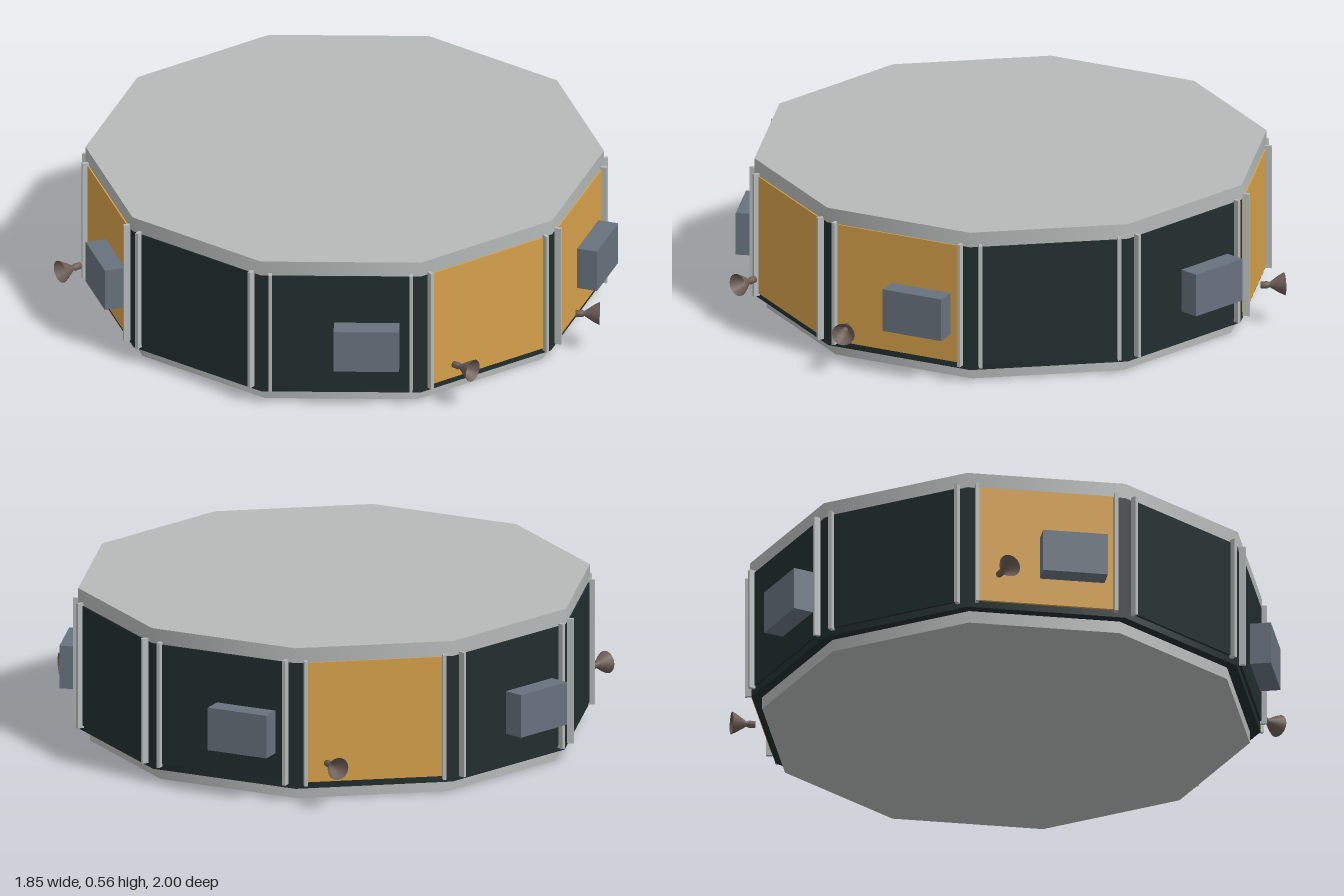
import * as THREE from 'three';

const SIDES = 10;
const STEP = (Math.PI * 2) / SIDES;
const APOTHEM = 0.875;

function material(name, color, side = THREE.FrontSide) {
  const m = new THREE.MeshStandardMaterial({ color, side });
  m.name = name;
  return m;
}

function mesh(name, geometry, mat, x = 0, y = 0, z = 0) {
  const m = new THREE.Mesh(geometry, mat);
  m.name = name;
  m.position.set(x, y, z);
  return m;
}

// Ten-sided slab with the given distance from centre to flat side
function slab(name, apothem, y0, y1, mat) {
  const r = apothem / Math.cos(STEP / 2);
  return mesh(name, new THREE.CylinderGeometry(r, r, y1 - y0, SIDES), mat, 0, (y0 + y1) / 2, 0);
}

export function createModel() {
  const grey = material('paleGrey', 0xb5bab8);
  const dark = material('darkPanel', 0x222e2e);
  const gold = material('goldFoil', 0xd5a04a);
  const slate = material('slateGrey', 0x67727d);
  const brown = material('brownMetal', 0x6e5e57, THREE.DoubleSide);

  const model = new THREE.Group();
  model.name = 'decagonalBody';
  const body = new THREE.Group();
  body.name = 'body';
  body.position.set(-0.03, 0, -0.03);
  model.add(body);

  // Stacked core: base plate, dark drum, roof plate
  body.add(slab('basePlate', 0.832, 0, 0.06, grey));
  body.add(slab('drum', 0.868, 0.045, 0.52, dark));
  body.add(slab('roofPlate', 0.873, 0.51, 0.565, grey));

  // Shared shapes
  const panelGeo = new THREE.BoxGeometry(0.482, 0.44, 0.012);
  const railGeo = new THREE.BoxGeometry(0.012, 0.46, 0.024);
  const boxGeo = new THREE.BoxGeometry(0.232, 0.157, 0.09);
  const bellProfile = [
    [0, -0.045], [0.012, -0.045], [0.013, -0.022], [0.009, -0.014],
    [0.02, 0.003], [0.031, 0.02], [0.041, 0.04],
  ].map(([r, y]) => new THREE.Vector2(r, y));
  const bellGeo = new THREE.LatheGeometry(bellProfile, 16);
  bellGeo.rotateX(Math.PI / 2);

  const goldSides = [0, 3, 6, 9];

  for (let i = 0; i < SIDES; i++) {
    const side = new THREE.Group();
    side.name = 'side' + (i + 1);
    side.rotation.y = (i + 0.5) * STEP;
    body.add(side);

    const isGold = goldSides.includes(i);
    side.add(mesh('panel', panelGeo, isGold ? gold : dark, 0, 0.29, APOTHEM - 0.003));

    // Vertical rails at both ends of the panel
    for (const s of [-1, 1]) {
      side.add(mesh('rail', railGeo, grey, s * 0.249, 0.29, APOTHEM + 0.009));
    }

    // Equipment box on every other side
    if (i % 2 === 0) side.add(mesh('equipmentBox', boxGeo, slate, 0.092, 0.248, 0.907));

    // Small thruster bell, turned half a step from its panel
    if (isGold) {
      const bell = mesh('thrusterBell', bellGeo, brown, -0.165, 0.152, 0.968);
      bell.rotation.y = STEP / 2;
      side.add(bell);
    }
  }
  return model;
}
